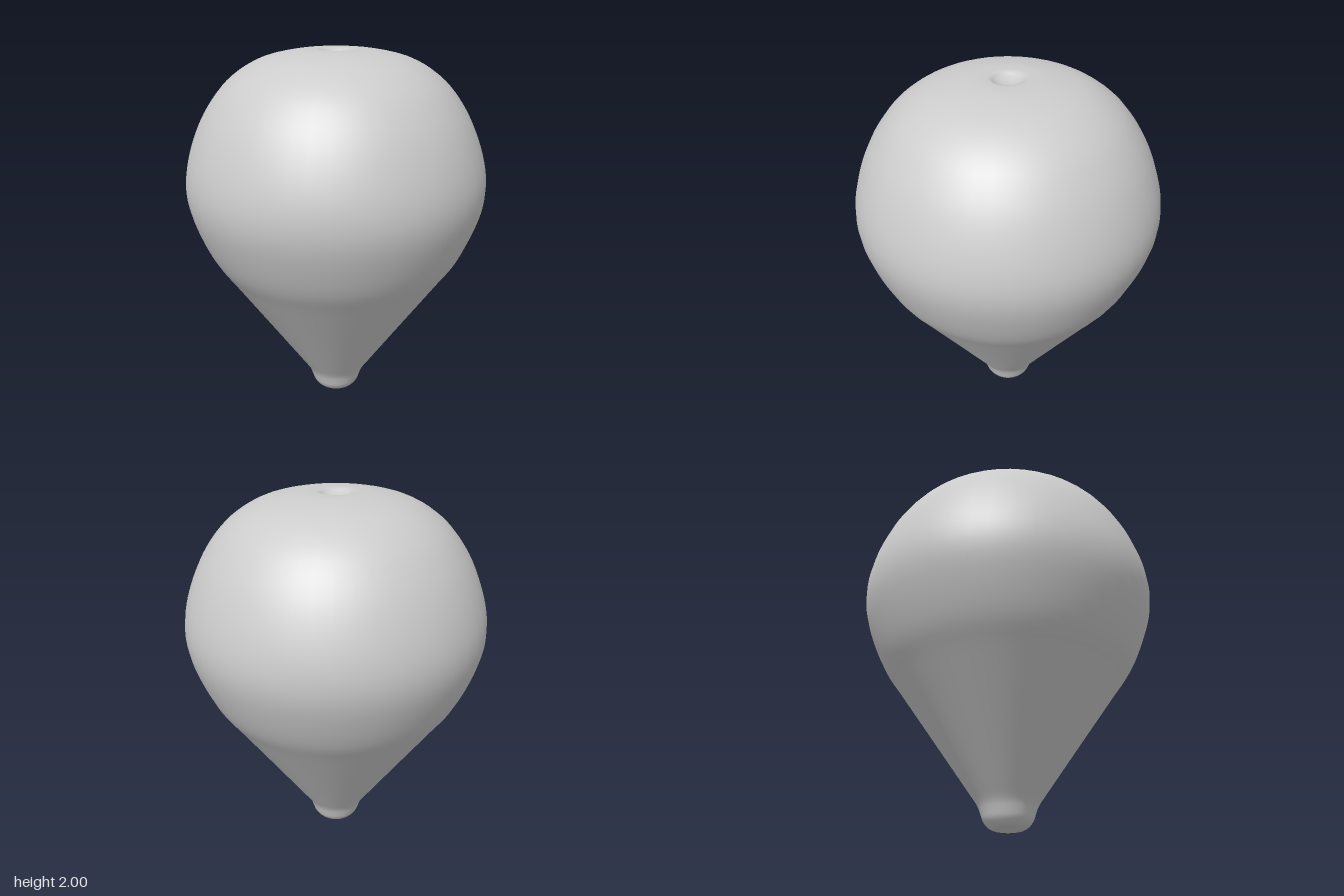
import * as THREE from 'three';

export function createModel() {
  const model = new THREE.Group();
  model.name = 'balloon';

  const grey = new THREE.MeshStandardMaterial({ color: 0xcccccc });
  grey.name = 'plain grey';

  // Smooth run of profile points through [radius, height] pairs
  const smooth = (pairs, steps) =>
    new THREE.CatmullRomCurve3(pairs.map(([r, y]) => new THREE.Vector3(r, y, 0)))
      .getPoints(steps)
      .map((p) => new THREE.Vector2(Math.max(0, p.x), p.y));

  // Rounded mouth with a shallow hollow underneath
  const mouth = smooth([
    [0, 0.02], [0.025, 0.012], [0.05, 0.001], [0.075, 0], [0.105, 0.015],
    [0.13, 0.045], [0.143, 0.08], [0.16, 0.125], [0.21, 0.2],
  ], 28);

  // Straight tapering skirt swelling into the crown, with a dimple on top
  const crown = smooth([
    [0.21, 0.2], [0.42, 0.502], [0.6, 0.76], [0.69, 0.89], [0.76, 1.04],
    [0.805, 1.18], [0.817, 1.29], [0.803, 1.41], [0.752, 1.57], [0.68, 1.71],
    [0.57, 1.845], [0.41, 1.947], [0.21, 1.995], [0.12, 2], [0.09, 1.997],
    [0.065, 1.982], [0.03, 1.97], [0, 1.967],
  ], 72);

  const envelope = new THREE.Mesh(
    new THREE.LatheGeometry([...mouth, ...crown.slice(1)], 48),
    grey
  );
  envelope.name = 'envelope';
  model.add(envelope);
  return model;
}
